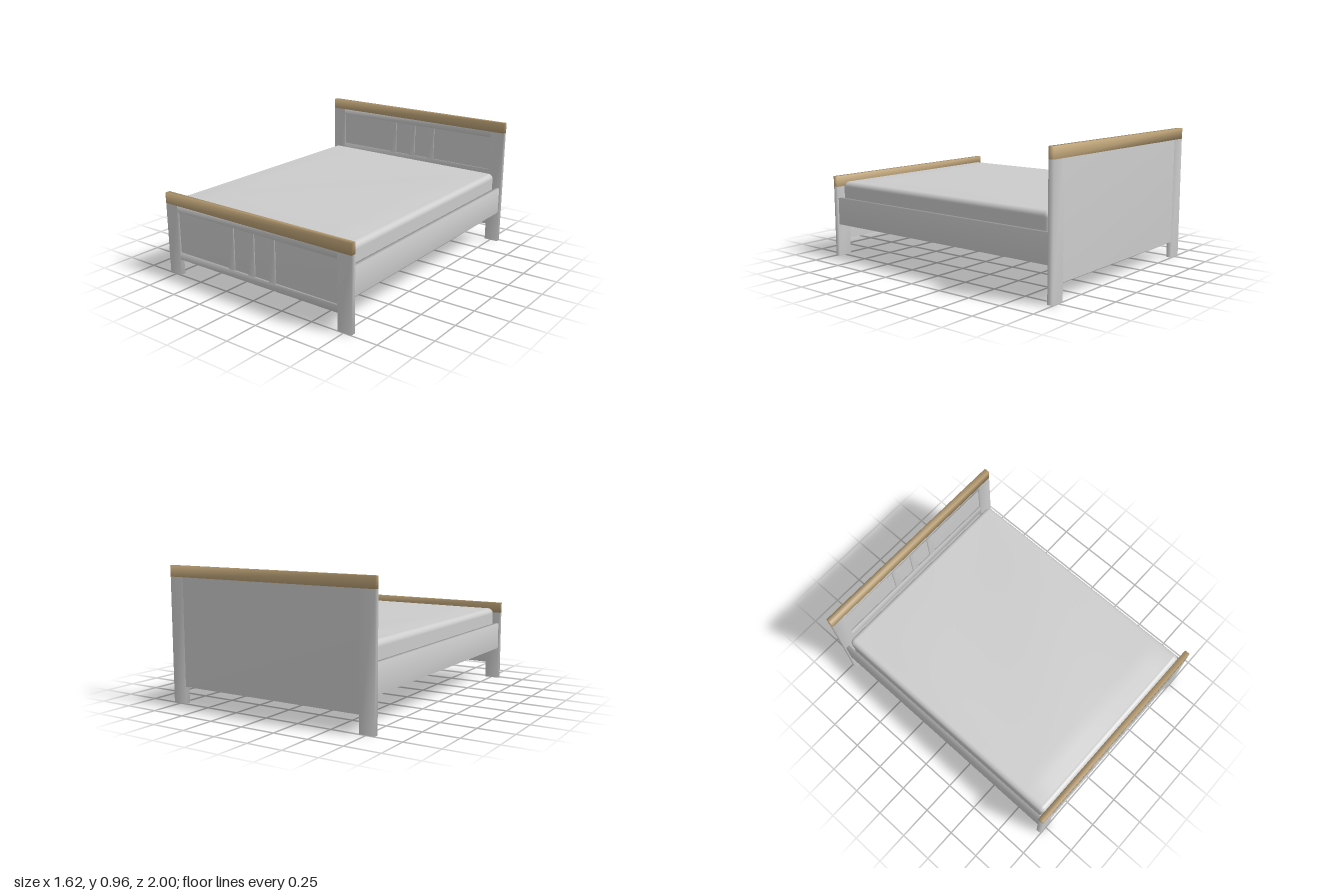
import * as THREE from 'three';
import { mergeVertices } from 'three/addons/utils/BufferGeometryUtils.js';
import { RoundedBoxGeometry } from 'three/addons/geometries/RoundedBoxGeometry.js';

const mat = (name, color) => {
  const m = new THREE.MeshStandardMaterial({ color });
  m.name = name;
  return m;
};

// Box with shared corners, so its shading runs softly over the edges
function softBox(w, h, d) {
  const g = new THREE.BoxGeometry(w, h, d);
  g.deleteAttribute('normal');
  g.deleteAttribute('uv');
  const merged = mergeVertices(g);
  merged.computeVertexNormals();
  return merged;
}

export function createModel() {
  const paint = mat('greyPaint', 0xcecece);
  const fabric = mat('mattressFabric', 0xcccccc);
  const wood = mat('oak', 0xbfa478);
  const metal = mat('blackMetal', 0x383838);

  const bed = new THREE.Group();
  bed.name = 'bed';

  const add = (parent, name, geometry, material, x = 0, y = 0, z = 0) => {
    const mesh = new THREE.Mesh(geometry, material);
    mesh.name = name;
    mesh.position.set(x, y, z);
    parent.add(mesh);
  };
  // Box given by its limits on each axis
  const box = (parent, name, material, [x0, x1], [y0, y1], [z0, z1]) =>
    add(parent, name, softBox(x1 - x0, y1 - y0, z1 - z0), material,
      (x0 + x1) / 2, (y0 + y1) / 2, (z0 + z1) / 2);

  // Framed end board; its panelled face points to +z, z is its rear face
  function endBoard(name, z, top, bottom, lowerRail) {
    const g = new THREE.Group();
    g.name = name;
    const capBase = top - 0.077;
    const railBase = capBase - 0.047;
    for (const s of [-1, 1]) {
      const x = s * 0.756;
      box(g, 'post', paint, [x - 0.053, x + 0.053], [0, capBase], [z + 0.0005, z + 0.0395]);
    }
    box(g, 'cap', wood, [-0.81, 0.81], [capBase, top], [z, z + 0.04]);
    box(g, 'panel', paint, [-0.705, 0.705], [bottom, capBase], [z + 0.005, z + 0.02]);
    box(g, 'topRail', paint, [-0.705, 0.705], [railBase, capBase], [z + 0.018, z + 0.034]);
    box(g, 'lowerRail', paint, [-0.705, 0.705], lowerRail, [z + 0.018, z + 0.034]);
    for (const x of [-0.198, -0.015, 0.165]) {
      box(g, 'mullion', paint, [x - 0.026, x + 0.026], [lowerRail[1], railBase], [z + 0.018, z + 0.032]);
    }
    bed.add(g);
  }
  endBoard('headboard', -1, 0.957, 0.12, [0.5, 0.575]);
  endBoard('footboard', 0.96, 0.602, 0.12, [0.12, 0.17]);

  // Side rails
  for (const s of [-1, 1]) {
    const x = s * 0.786;
    box(bed, 'sideRail', paint, [x - 0.016, x + 0.016], [0.242, 0.44], [-0.962, 0.962]);
  }

  // Base board and centre beam
  add(bed, 'baseBoard', new THREE.BoxGeometry(1.544, 0.025, 1.93), paint, 0, 0.3425, 0);
  box(bed, 'centreBeam', paint, [-0.042, 0.012], [0.305, 0.331], [-0.965, 0.965]);

  // Support legs with a sleeve and a flared foot
  for (const z of [0.485, -0.475]) {
    const leg = new THREE.Group();
    leg.name = 'supportLeg';
    leg.position.set(-0.015, 0, z);
    add(leg, 'sleeve', new THREE.CylinderGeometry(0.018, 0.018, 0.195, 20), metal, 0, 0.2085, 0);
    add(leg, 'tube', new THREE.CylinderGeometry(0.015, 0.015, 0.11, 20), metal, 0, 0.06, 0);
    add(leg, 'foot', new THREE.CylinderGeometry(0.021, 0.023, 0.014, 20), metal, 0, 0.007, 0);
    bed.add(leg);
  }

  // Mattress
  add(bed, 'mattress', new RoundedBoxGeometry(1.53, 0.205, 1.9, 6, 0.04), fabric, 0, 0.4575, 0.01);

  // Low, softly uneven crown lying over the mattress top
  const crown = new THREE.PlaneGeometry(1.44, 1.81, 28, 36).rotateX(-Math.PI / 2);
  const p = crown.attributes.position;
  for (let i = 0; i < p.count; i++) {
    const x = p.getX(i), z = p.getZ(i);
    const fade = Math.min(1, 6 * (1 - Math.abs(x) / 0.72)) * Math.min(1, 6 * (1 - Math.abs(z) / 0.905));
    const wave = 0.006 + 0.006 * z + 0.002 * Math.sin(5 * x + 4 * z);
    p.setY(i, 0.0005 + fade * Math.max(0, wave));
  }
  crown.computeVertexNormals();
  add(bed, 'mattressCrown', crown, fabric, 0, 0.56, 0.01);

  return bed;
}
